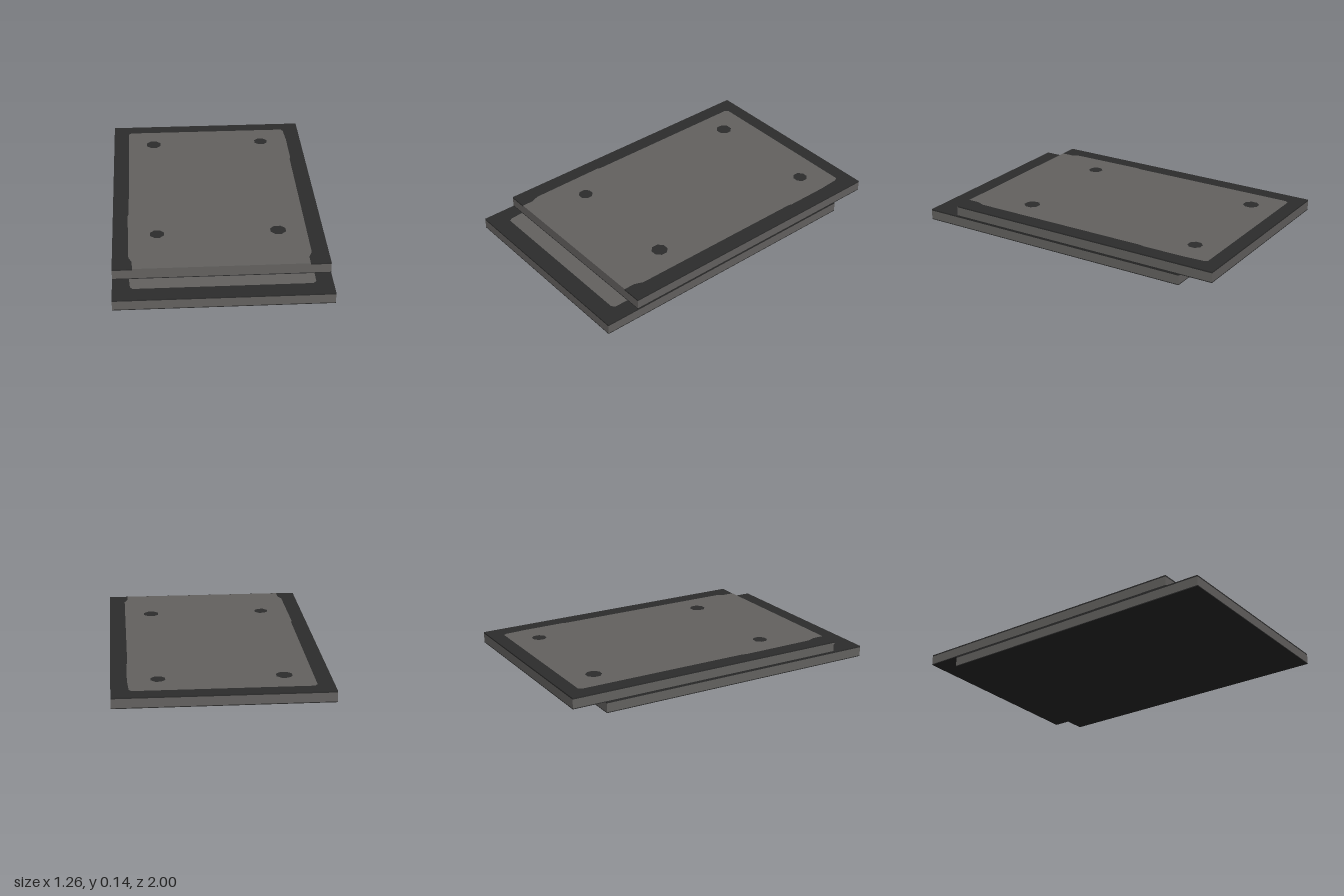
import * as THREE from 'three';

const W = 0.63, BACK = -1, FRONT = 0.79;
const H = 0.0675, BASE = 0.005, SKIN = 0.009;

const grey = new THREE.MeshStandardMaterial({ color: 0x646260 });
grey.name = 'warm grey';
const dark = new THREE.MeshStandardMaterial({ color: 0x2d2d2d });
dark.name = 'charcoal';

// Closed shape from [x, z] points
const outline = (pts) => new THREE.Shape(pts.map(([x, z]) => new THREE.Vector2(x, -z)));

// Flat layer lying on height y
function layer(name, shape, y, height, material) {
  const geo = new THREE.ExtrudeGeometry(shape, { depth: height, bevelEnabled: false });
  geo.rotateX(-Math.PI / 2);
  const mesh = new THREE.Mesh(geo, material);
  mesh.name = name;
  mesh.position.y = y;
  return mesh;
}

// Octagonal spot with flat sides facing the axes
function spotPoints([x, z, r]) {
  return Array.from({ length: 8 }, (_, i) => {
    const a = (i + 0.5) * Math.PI / 4;
    return [x + r * Math.cos(a), z + r * Math.sin(a)];
  });
}

// One slab: dark underside, grey core, dark border around a grey panel open at one end
function createSlab(name, panelEnd) {
  const slab = new THREE.Group();
  slab.name = name;
  const full = outline([[-W, BACK], [W, BACK], [W, FRONT], [-W, FRONT]]);
  const panel = [
    [-0.515, FRONT], [-0.515, 0.72], [-0.535, 0.67], [-0.54, 0.2], [-0.533, 0.18],
    [-0.533, panelEnd + 0.02], [-0.515, panelEnd],
    [0.515, panelEnd], [0.528, panelEnd + 0.02], [0.536, -0.76], [0.536, -0.5], [0.53, -0.48],
    [0.53, 0.67], [0.51, 0.72], [0.51, FRONT],
  ];
  const spots = [[-0.365, -0.735, 0.05], [0.36, -0.743, 0.045], [-0.365, 0.42, 0.045], [0.36, 0.413, 0.05]];
  const border = outline([[-W, FRONT], ...panel, [W, FRONT], [W, BACK], [-W, BACK]]);
  const panelShape = outline(panel);
  const top = H - SKIN;

  spots.forEach((s) => {
    const shape = outline(spotPoints(s));
    panelShape.holes.push(shape);
    slab.add(layer('spot', shape, top, SKIN, dark));
  });
  slab.add(
    layer('underside', full, 0, BASE, dark),
    layer('core', full, BASE, top - BASE, grey),
    layer('border', border, top, SKIN, dark),
    layer('panel', panelShape, top, SKIN, grey),
  );
  return slab;
}

export function createModel() {
  const model = new THREE.Group();
  model.name = 'stackedSlabs';

  // Lower slab is turned half round so it sticks out at the front
  const lower = createSlab('lowerSlab', -0.892);
  lower.rotation.y = Math.PI;

  const upper = createSlab('upperSlab', -0.912);
  upper.position.y = H;

  model.add(lower, upper);
  return model;
}
